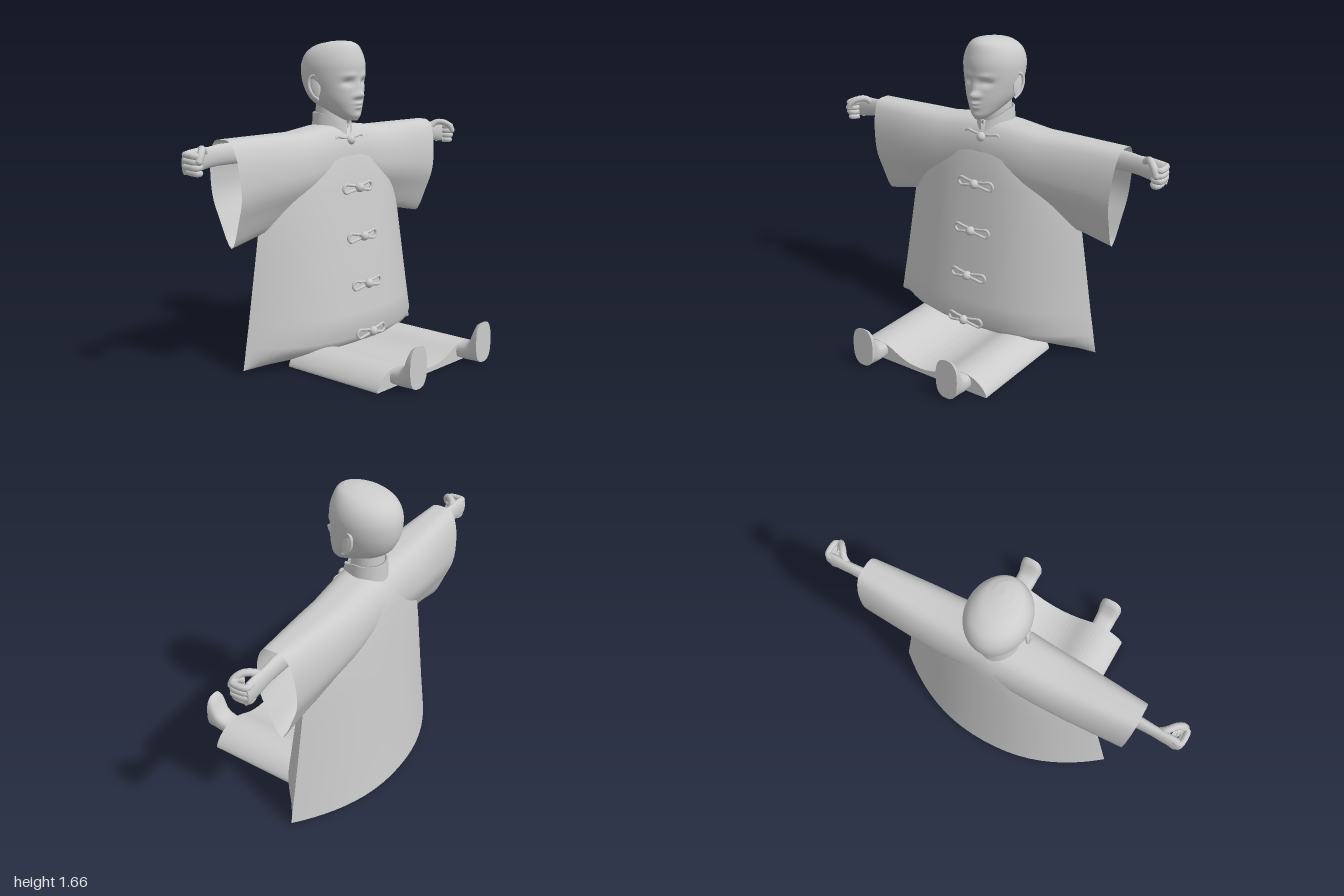
import * as THREE from 'three';

const mat = new THREE.MeshStandardMaterial({ color: 0xcccccc, side: THREE.DoubleSide });
const V = (x, y, z) => new THREE.Vector3(x, y, z);

function mesh(name, geometry, parent) {
  const m = new THREE.Mesh(geometry, mat);
  m.name = name;
  parent.add(m);
  return m;
}

// Skin a list of equally long point rings
function loft(rings, closed = true) {
  const n = rings[0].length, idx = [];
  for (let j = 0; j < rings.length - 1; j++) {
    for (let k = 0; k < (closed ? n : n - 1); k++) {
      const a = j * n + k, b = j * n + (k + 1) % n;
      idx.push(a, a + n, b, b, a + n, b + n);
    }
  }
  const g = new THREE.BufferGeometry().setFromPoints(rings.flat());
  g.setIndex(idx);
  g.computeVertexNormals();
  return g;
}

const ring = (n, f) => Array.from({ length: n }, (_, k) => f(k / n * Math.PI * 2));
const flat = (r) => {
  const c = r.reduce((s, p) => s.add(p), V(0, 0, 0)).divideScalar(r.length);
  return r.map(() => c.clone());
};
// Close both ends with sharp flat caps
const capped = (rings) => {
  const a = rings[0], b = rings[rings.length - 1];
  return [flat(a), a, ...rings, b, flat(b)];
};
const tube = (pts, r, closed = false, seg = 20) =>
  new THREE.TubeGeometry(new THREE.CatmullRomCurve3(pts, closed), seg, r, 8, closed);
const spow = (v, p) => Math.sign(v) * Math.abs(v) ** p;

// Robe body: lens-shaped sections [y, half width, front z, back z]
function robeBody(parent) {
  const rows = [
    [0.025, 0.66, -0.24, -0.527], [0.04, 0.658, -0.16, -0.526], [0.08, 0.65, -0.06, -0.522],
    [0.13, 0.642, -0.005, -0.517], [0.25, 0.62, -0.018, -0.506], [0.4, 0.595, -0.036, -0.493],
    [0.55, 0.57, -0.055, -0.48], [0.7, 0.545, -0.075, -0.467], [0.9, 0.5, -0.102, -0.45],
    [1.05, 0.42, -0.125, -0.436], [1.14, 0.3, -0.155, -0.42], [1.2, 0.17, -0.19, -0.38],
    [1.225, 0.09, -0.22, -0.35],
  ];
  const strip = (front) => rows.map(([y, w, zf, zb]) =>
    Array.from({ length: 29 }, (_, k) => {
      const t = Math.cos(k / 28 * Math.PI) * (front ? 1 : -1);
      const z = -0.28 + ((front ? zf : zb) + 0.28) * (1 - Math.abs(t) ** (front ? 2.6 : 2.2));
      return V(w * t, y, z);
    }));
  const f = strip(true), b = strip(false);
  mesh('robeFront', loft(f, false), parent);
  mesh('robeBack', loft(b, false), parent);
  const rim = [...f[0], ...b[0].slice(1, -1)];
  mesh('robeUnderside', loft([flat(rim), rim]), parent);
}

// Wide hanging sleeve: drop-shaped sections from the spine to the open cuff
function sleeve(parent) {
  const drop = [[0, 1], [-0.65, 0.95], [-0.96, 0.75], [-1, 0.5], [-0.62, 0.25], [0, 0],
    [0.62, 0.25], [1, 0.5], [0.96, 0.75], [0.65, 0.95]];
  const curve = new THREE.CatmullRomCurve3(drop.map(([z, y]) => V(0, y, z)), true, 'centripetal');
  const section = curve.getPoints(40).slice(0, 40);
  // [x at top, top y, bottom y, half depth]
  const rows = [[0, 1.228, 0.8, 0.148], [0.12, 1.222, 0.79, 0.146], [0.3, 1.2, 0.74, 0.14],
    [0.45, 1.2, 0.715, 0.133], [0.6, 1.2, 0.695, 0.122], [0.765, 1.2, 0.662, 0.108]];
  mesh('sleeve', loft(rows.map(([x, top, low, d]) => section.map((p) =>
    V(x * (1 - 0.06 * (1 - p.y)), low + (top - low) * p.y, -0.28 + d * p.z)))), parent);
}

// Forearm and closed fist
function arm(parent) {
  const rows = [[0.45, 1.13, 0.055, 0.035], [0.78, 1.128, 0.052, 0.027], [0.84, 1.122, 0.05, 0.024],
    [0.9, 1.117, 0.057, 0.025], [0.96, 1.11, 0.058, 0.024], [0.985, 1.105, 0.05, 0.018]];
  mesh('forearm', loft(capped(rows.map(([x, y, h, d]) => ring(20, (a) =>
    V(x, y + h * Math.cos(a), -0.292 - d * Math.sin(a)))))), parent);
  for (let i = 0; i < 4; i++) {
    const y = 1.148 - i * 0.027, s = i === 3 ? 0.012 : 0;
    mesh('finger', tube([V(0.93, y, -0.293), V(0.975 - s, y, -0.295), V(0.985 - s, y - 0.002, -0.25),
      V(0.978 - s, y - 0.004, -0.218), V(0.95, y - 0.004, -0.222), V(0.935, y - 0.004, -0.25)], 0.0155), parent);
  }
  mesh('thumb', tube([V(0.86, 1.14, -0.29), V(0.895, 1.168, -0.27), V(0.925, 1.168, -0.235),
    V(0.955, 1.145, -0.21), V(0.968, 1.12, -0.205)], 0.018), parent);
  const tip = mesh('thumbTip', new THREE.SphereGeometry(0.018, 10, 8), parent);
  tip.position.set(0.968, 1.12, -0.205);
}

// Foot with an upright flat sole: [z, bottom, top, half width]
function foot(parent) {
  const rows = [[0.3, 0.02, 0.095, 0.055], [0.4, 0.018, 0.1, 0.058], [0.45, 0.016, 0.113, 0.06],
    [0.478, 0.016, 0.14, 0.06], [0.495, 0.016, 0.19, 0.062], [0.51, 0.016, 0.22, 0.065], [0.53, 0.016, 0.23, 0.065]];
  mesh('foot', loft(capped(rows.map(([z, lo, hi, w]) => ring(28, (a) =>
    V(0.27 + w * spow(Math.cos(a), 0.75), (lo + hi) / 2 - (hi - lo) / 2 * spow(Math.sin(a), 0.75), z))))), parent);
}

// Trousers: two flattened legs joined by a sagging web of cloth
function trousers(parent) {
  const s = new THREE.Shape();
  s.moveTo(-0.42, 0.004);
  s.lineTo(0.42, 0.004);
  s.bezierCurveTo(0.425, 0.03, 0.37, 0.1, 0.28, 0.102);
  s.bezierCurveTo(0.17, 0.102, 0.15, 0.03, 0, 0.028);
  s.bezierCurveTo(-0.15, 0.03, -0.17, 0.102, -0.28, 0.102);
  s.bezierCurveTo(-0.37, 0.1, -0.425, 0.03, -0.42, 0.004);
  const g = new THREE.ExtrudeGeometry(s, { depth: 0.6, bevelEnabled: false, curveSegments: 12 });
  mesh('trousers', g.translate(0, 0, -0.2), parent);
}

// Head: egg-shaped sections, with sockets, nose and lips pressed in by smooth bumps
function head(parent) {
  const rows = [[1.25, 0.028, -0.105, -0.18], [1.28, 0.062, -0.093, -0.25], [1.32, 0.095, -0.088, -0.35],
    [1.36, 0.12, -0.087, -0.405], [1.42, 0.14, -0.088, -0.438], [1.48, 0.152, -0.088, -0.45],
    [1.54, 0.153, -0.087, -0.447], [1.595, 0.135, -0.1, -0.42], [1.635, 0.098, -0.118, -0.36], [1.655, 0.045, -0.15, -0.27]];
  const c1 = new THREE.CatmullRomCurve3(rows.map(([y, w, f]) => V(w, y, f)));
  const c2 = new THREE.CatmullRomCurve3(rows.map(([y, w, , b]) => V(w, y, b)));
  // [x, y, x spread, y spread, push]
  const bumps = [[0, 1.383, 0.02, 0.016, 0.037], [0, 1.42, 0.013, 0.03, 0.014], [0.026, 1.377, 0.011, 0.01, 0.012],
    [0.055, 1.447, 0.03, 0.017, -0.02], [0.055, 1.483, 0.035, 0.012, 0.008], [0, 1.339, 0.024, 0.008, 0.016],
    [0, 1.318, 0.022, 0.008, 0.013], [0, 1.275, 0.03, 0.015, 0.006]];
  const rings = [];
  for (let j = 0; j <= 56; j++) {
    const f = c1.getPoint(j / 56), b = c2.getPoint(j / 56);
    const mid = f.z + (b.z - f.z) * 0.5;
    rings.push(ring(64, (a) => {
      const x = f.x * Math.cos(a), s = Math.sin(a);
      let z = mid + (s > 0 ? f.z - mid : mid - b.z) * s;
      if (s > 0) for (const [bx, by, sx, sy, d] of bumps)
        z += d * Math.exp(-(((Math.abs(x) - bx) / sx) ** 2) - ((f.y - by) / sy) ** 2);
      return V(x, f.y, z);
    }));
  }
  const crown = flat(rings[56]).map((p) => p.setY(1.66));
  mesh('head', loft([flat(rings[0]), ...rings, crown]), parent);
  mesh('neck', new THREE.CylinderGeometry(0.08, 0.085, 0.2, 24), parent).position.set(0, 1.25, -0.285);
}

// Ear: thin shell with a raised rim
function ear(parent) {
  const g = new THREE.Group();
  g.name = 'ear';
  g.position.set(0.146, 1.42, -0.258);
  g.rotation.set(-0.15, -0.25, 0.08);
  mesh('earShell', new THREE.SphereGeometry(1, 16, 12).scale(0.009, 0.06, 0.03), g);
  mesh('earRim', tube([V(0, -0.064, 0.014), V(0.004, -0.04, -0.012), V(0.008, 0.01, -0.032),
    V(0.01, 0.052, -0.022), V(0.007, 0.062, 0.008), V(0.003, 0.035, 0.028)], 0.008), g);
  parent.add(g);
}

// Standing collar, lower and parted at the throat
function collar(parent) {
  const row = (y, dip, r) => Array.from({ length: 41 }, (_, k) => {
    const a = Math.PI / 2 + 0.12 + k / 40 * (Math.PI * 2 - 0.24);
    const front = Math.max(0, Math.sin(a)) ** 2;
    return V(r * Math.cos(a), y - dip * front, -0.285 + r * (1 + 0.25 * front) * Math.sin(a));
  });
  mesh('collar', loft([row(1.18, 0.03, 0.104), row(1.285, 0.06, 0.097), row(1.285, 0.06, 0.097),
    row(1.285, 0.06, 0.085), row(1.18, 0.03, 0.085)], false), parent);
}

// Knotted button with a cord loop on each side
function fastener(parent, y, z) {
  const g = new THREE.Group();
  g.name = 'fastener';
  g.position.set(0, y, z);
  mesh('button', new THREE.SphereGeometry(0.025, 16, 12), g).position.z = 0.008;
  for (const s of [-1, 1]) {
    mesh('cordLoop', tube([V(s * 0.012, 0.006, 0), V(s * 0.055, 0.016, 0), V(s * 0.095, 0.021, -0.004), V(s * 0.109, 0, -0.006),
      V(s * 0.095, -0.021, -0.004), V(s * 0.055, -0.016, 0), V(s * 0.012, -0.006, 0)], 0.0075, true, 36), g);
  }
  parent.add(g);
}

export function createModel() {
  const model = new THREE.Group();
  model.name = 'seatedRobedFigure';
  robeBody(model);
  trousers(model);
  head(model);
  collar(model);
  for (const [y, z] of [[1.145, -0.155], [0.9, -0.092], [0.645, -0.06], [0.395, -0.028], [0.14, 0.002]])
    fastener(model, y, z);
  // Paired parts, mirrored across x
  for (const side of [1, -1]) {
    const half = new THREE.Group();
    half.name = side > 0 ? 'leftSide' : 'rightSide';
    half.scale.x = side;
    sleeve(half);
    arm(half);
    foot(half);
    ear(half);
    model.add(half);
  }
  return model;
}
